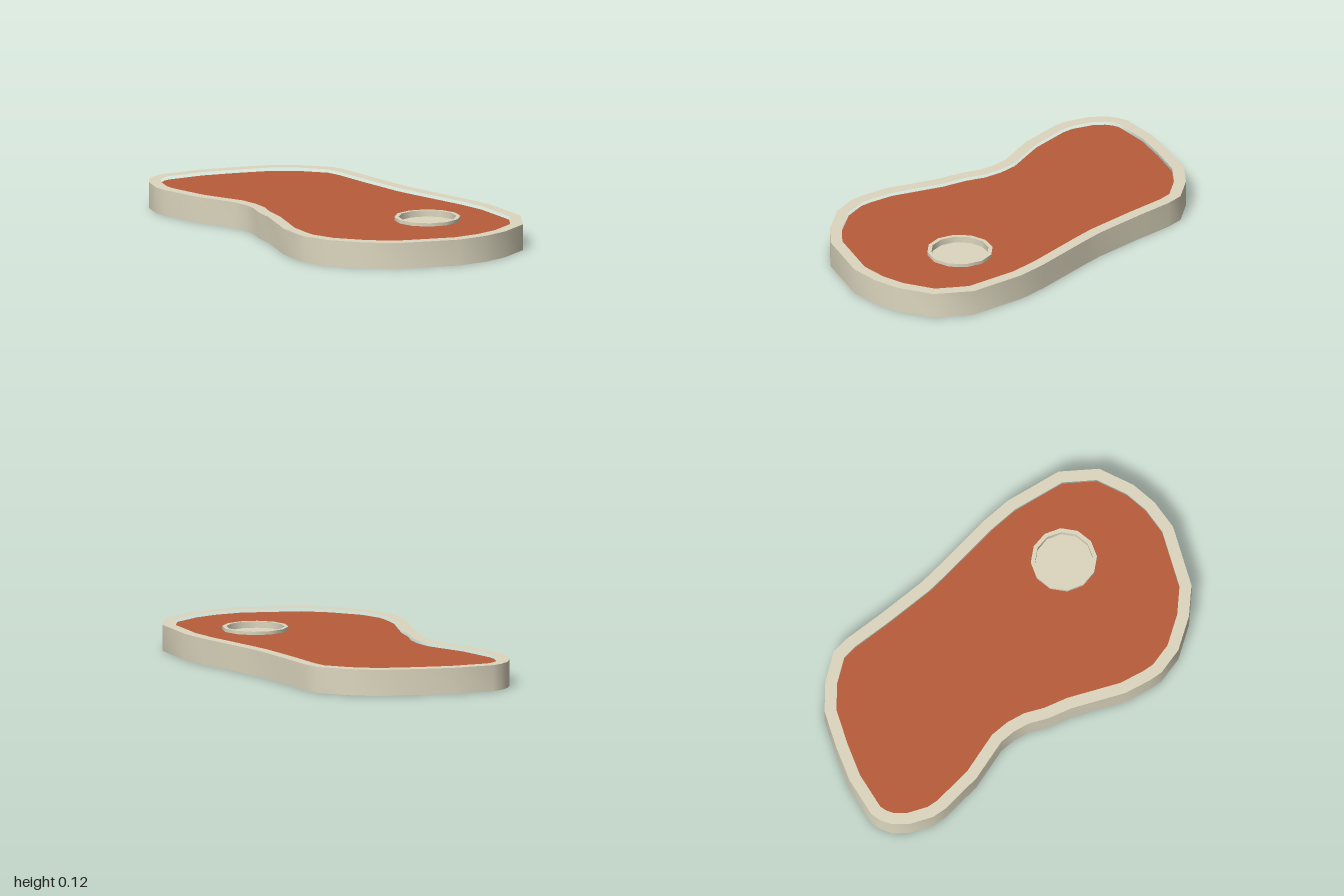
import * as THREE from 'three';
import { toCreasedNormals } from 'three/addons/utils/BufferGeometryUtils.js';

const HEIGHT = 0.125;
const fat = new THREE.MeshStandardMaterial({ color: 0xddd7bf });
const meat = new THREE.MeshStandardMaterial({ color: 0xb95c3c });

// Outline seen from above, clockwise, as [x, z]
const outline = [
  [-0.35, -1], [-0.15, -0.985], [0.02, -0.94], [0.2, -0.88], [0.32, -0.79], [0.42, -0.67],
  [0.437, -0.58], [0.445, -0.38], [0.463, -0.13], [0.48, -0.03], [0.543, 0.29], [0.56, 0.44],
  [0.54, 0.72], [0.44, 0.885], [0.28, 0.97], [0.15, 1], [0, 1], [-0.29, 0.9],
  [-0.41, 0.8], [-0.52, 0.66], [-0.565, 0.53], [-0.565, 0.46], [-0.55, 0.33], [-0.465, 0.08],
  [-0.442, -0.04], [-0.41, -0.13], [-0.402, -0.21], [-0.41, -0.29], [-0.49, -0.49], [-0.53, -0.7],
  [-0.53, -0.77], [-0.493, -0.885], [-0.447, -0.95], [-0.4, -0.983],
].map(([x, z]) => new THREE.Vector2(x, -z));

// Moves every side of a clockwise outline inwards by d
function inset(points, d) {
  const n = points.length;
  return points.map((p, i) => {
    const a = p.clone().sub(points[(i + n - 1) % n]).normalize();
    const b = points[(i + 1) % n].clone().sub(p).normalize();
    const normalA = new THREE.Vector2(a.y, -a.x);
    const mid = new THREE.Vector2(b.y, -b.x).add(normalA).normalize();
    return p.clone().addScaledVector(mid, d / mid.dot(normalA));
  });
}

function circle(radius, sides = 12) {
  return Array.from({ length: sides }, (_, i) => {
    const a = (i / sides) * Math.PI * 2;
    return new THREE.Vector2(0.166 + radius * Math.cos(a), -0.485 + radius * Math.sin(a));
  });
}

// Upright slab, centred in the thickness and set back by recess at top and bottom
function slab(name, points, recess, material, hole) {
  const shape = new THREE.Shape(points);
  if (hole) shape.holes.push(new THREE.Path(hole));
  const geometry = new THREE.ExtrudeGeometry(shape, { depth: HEIGHT - 2 * recess, bevelEnabled: false });
  geometry.rotateX(-Math.PI / 2).translate(0, recess, 0);
  const mesh = new THREE.Mesh(toCreasedNormals(geometry, 0.7), material);
  mesh.name = name;
  return mesh;
}

export function createModel() {
  const steak = new THREE.Group();
  steak.name = 'steak';
  const inner = inset(outline, 0.056);
  const boneOuter = circle(0.157);
  const boneInner = circle(0.137);
  steak.add(
    slab('fatRim', outline, 0, fat, inner),
    slab('meat', inner, 0.016, meat, boneOuter),
    slab('boneRing', boneOuter, 0, fat, boneInner),
    slab('boneMarrow', boneInner, 0.03, fat),
  );
  return steak;
}
